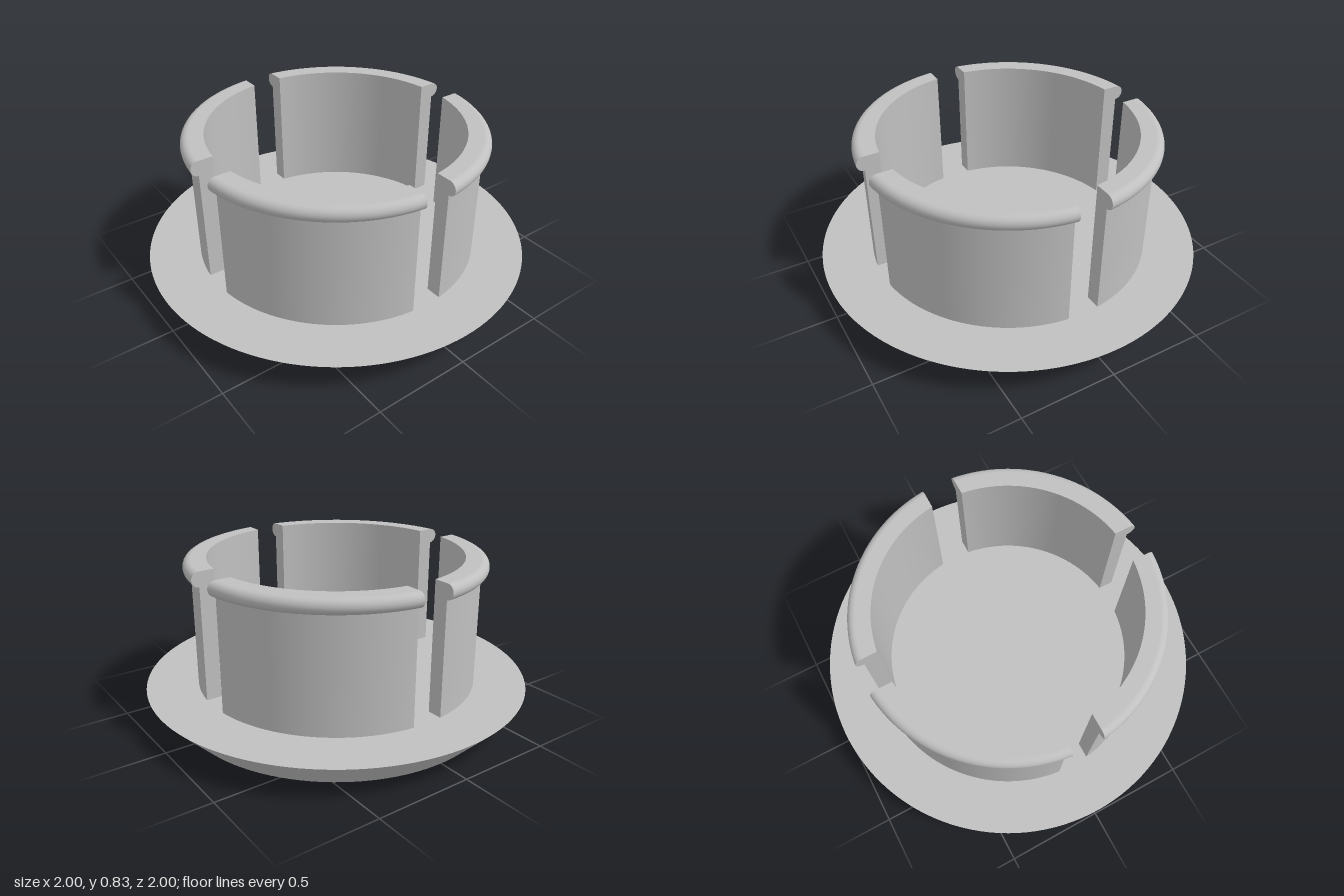
import * as THREE from 'three';
import { mergeGeometries } from 'three/addons/utils/BufferGeometryUtils.js';

const FLOOR = 0.167, TOP = 0.833;      // top of the flange, top of the prongs
const INNER = 0.655, OUTER = 0.734;    // prong wall radii
const BEAD = 0.039;                    // radius of the rounded lip
const HALF_SLOT = 0.083;               // half the width of the straight slots
const STEPS = 32;

// Sweeps one smooth run of the (radius, height) profile round a quarter, cut by straight slots
function sweep(run) {
  const pos = [], index = [];
  run.forEach(([r, y], i) => {
    const start = Math.asin(HALF_SLOT / r);
    for (let j = 0; j <= STEPS; j++) {
      const a = start + (Math.PI / 2 - 2 * start) * j / STEPS;
      pos.push(r * Math.cos(a), y, r * Math.sin(a));
      if (i < run.length - 1 && j < STEPS) {
        const p = i * (STEPS + 1) + j, q = p + STEPS + 1;
        index.push(p, q, p + 1, q, q + 1, p + 1);
      }
    }
  });
  const g = new THREE.BufferGeometry();
  g.setAttribute('position', new THREE.Float32BufferAttribute(pos, 3));
  g.setIndex(index);
  g.computeVertexNormals();
  return g;
}

// Flat end face of a prong, where the slot plane cuts the profile
function endFace(profile, sign) {
  const pts = profile.map(([r, y]) =>
    new THREE.Vector2(sign * Math.sqrt(r * r - HALF_SLOT * HALF_SLOT), y));
  const g = new THREE.ShapeGeometry(new THREE.Shape(pts));
  g.deleteAttribute('uv');
  return g;
}

function prongGeometry() {
  const bead = [];
  for (let i = 0; i <= 14; i++) {
    const t = -Math.PI / 2 + Math.PI * i / 14;
    bead.push([OUTER + BEAD * Math.cos(t), TOP - BEAD + BEAD * Math.sin(t)]);
  }
  const innerFoot = [INNER, FLOOR], outerFoot = [OUTER, FLOOR], innerTop = [INNER, TOP];
  const profile = [innerFoot, outerFoot, ...bead, innerTop];
  return mergeGeometries([
    sweep([outerFoot, bead[0]]),
    sweep(bead),
    sweep([bead[14], innerTop]),
    sweep([innerTop, innerFoot]),
    endFace(profile, 1).rotateY(-Math.PI / 2).translate(HALF_SLOT, 0, 0),
    endFace(profile, -1).rotateY(Math.PI).translate(0, 0, HALF_SLOT),
  ]);
}

export function createModel() {
  const model = new THREE.Group();
  model.name = 'snapInPlug';
  const grey = new THREE.MeshStandardMaterial({ color: 0xc0c0c0 });
  grey.name = 'plainGrey';

  // Bevelled round flange
  const flange = new THREE.Mesh(new THREE.CylinderGeometry(1, 0.835, FLOOR, 128), grey);
  flange.name = 'flange';
  flange.position.y = FLOOR / 2;
  model.add(flange);

  // Four curved prongs with a rounded lip
  const geometry = prongGeometry();
  for (let i = 0; i < 4; i++) {
    const prong = new THREE.Mesh(geometry, grey);
    prong.name = `prong${i + 1}`;
    prong.rotation.y = i * Math.PI / 2;
    model.add(prong);
  }
  return model;
}
